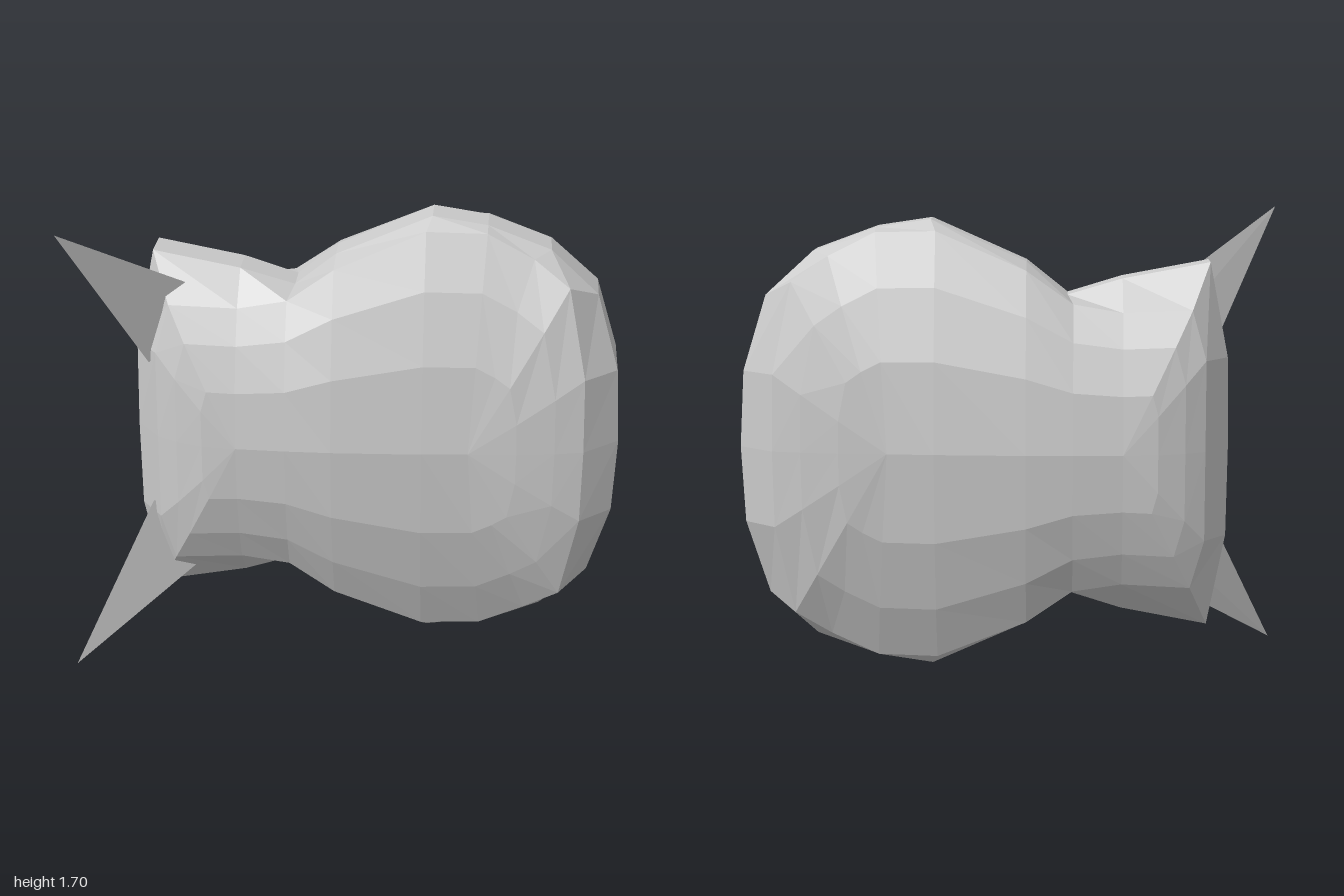
import * as THREE from 'three';

const MID_Y = 0.85, MID_Z = -0.06;

// Upper half of the outline, right end to left end:
// rim x, y, half depth, then shoulder x, y, half depth
const OUTLINE = [
  [1.0, 0, 0.13, 0.87, 0, 0.25],
  [0.985, 0.28, 0.13, 0.865, 0.28, 0.245],
  [0.905, 0.555, 0.085, 0.8, 0.61, 0.19],
  [0.73, 0.715, 0.07, 0.67, 0.7, 0.14],
  [0.5, 0.8, 0.065, 0.5, 0.785, 0.12],
  [0.3, 0.83, 0.065, 0.28, 0.79, 0.13],
  [-0.05, 0.675, 0.06, -0.05, 0.65, 0.17],
  [-0.2, 0.555, 0.06, -0.22, 0.53, 0.18],
  [-0.4, 0.615, 0.07, -0.4, 0.5, 0.19],
  [-0.72, 0.675, 0.07, -0.65, 0.51, 0.2],
  [-0.785, 0.33, 0.1, -0.7, 0.33, 0.22],
  [-0.79, 0, 0.1, -0.7, 0, 0.225],
];

function flatMesh(name, positions, material) {
  const geometry = new THREE.BufferGeometry();
  geometry.setAttribute('position', new THREE.Float32BufferAttribute(positions, 3));
  geometry.computeVertexNormals();
  const mesh = new THREE.Mesh(geometry, material);
  mesh.name = name;
  return mesh;
}

// A point on the bulging face: t = 0 on the middle line, t = 1 on the shoulder
function facePoint([, , , x, y, depth], t) {
  const spineX = THREE.MathUtils.clamp(x, -0.4, 0.45);
  const peak = 0.328 - 0.09 * (spineX + 0.1) ** 2;
  return [
    THREE.MathUtils.lerp(spineX, x, t),
    y * t,
    THREE.MathUtils.lerp(peak, depth, t ** 2.2),
  ];
}

function buildBody(material) {
  // Close the outline by mirroring the upper half downwards
  const lower = OUTLINE.slice(1, -1).reverse().map(([a, b, c, d, e, f]) => [a, -b, c, d, -e, f]);
  const loop = [...OUTLINE, ...lower];

  // Nested loops from the front middle line, over the rim, to the back
  const front = [0, 0.42, 0.75, 1].map((t) => loop.map((p) => facePoint(p, t)));
  front.push(loop.map((p) => p.slice(0, 3)));
  const back = front.map((ring) => ring.map(([x, y, z]) => [x, y, -z])).reverse();
  const rings = [...front, ...back];

  const positions = [];
  const put = (...points) => points.forEach(([x, y, z]) => positions.push(x, y + MID_Y, z + MID_Z));
  for (let k = 0; k < rings.length - 1; k++) {
    for (let j = 0; j < loop.length; j++) {
      const n = (j + 1) % loop.length;
      const a = rings[k][j], b = rings[k + 1][j], c = rings[k + 1][n], d = rings[k][n];
      put(a, b, c, a, c, d);
    }
  }
  return flatMesh('body', positions, material);
}

// Thin three-sided spike; side is 1 for the upper and -1 for the lower one
function buildSpike(name, side, material) {
  const [tip, outer, inner, root] = [
    [-1, 0.85, 0.39],
    [-0.58, 0.57, 0.07],
    [-0.73, 0.28, 0.13],
    [-0.58, 0.4, 0.04],
  ].map(([x, y, z]) => [x, MID_Y + side * y, z]);
  const faces = [[tip, inner, outer], [tip, outer, root], [tip, root, inner], [outer, inner, root]];
  const positions = faces.flatMap(([a, b, c]) => (side > 0 ? [a, b, c] : [a, c, b])).flat();
  return flatMesh(name, positions, material);
}

export function createModel() {
  const group = new THREE.Group();
  group.name = 'spikedBody';
  const material = new THREE.MeshStandardMaterial({ color: 0xcccccc, flatShading: true });
  const thin = new THREE.MeshStandardMaterial({
    color: 0xcccccc, flatShading: true, side: THREE.DoubleSide,
  });
  group.add(
    buildBody(material),
    buildSpike('upperSpike', 1, thin),
    buildSpike('lowerSpike', -1, thin),
  );
  return group;
}
